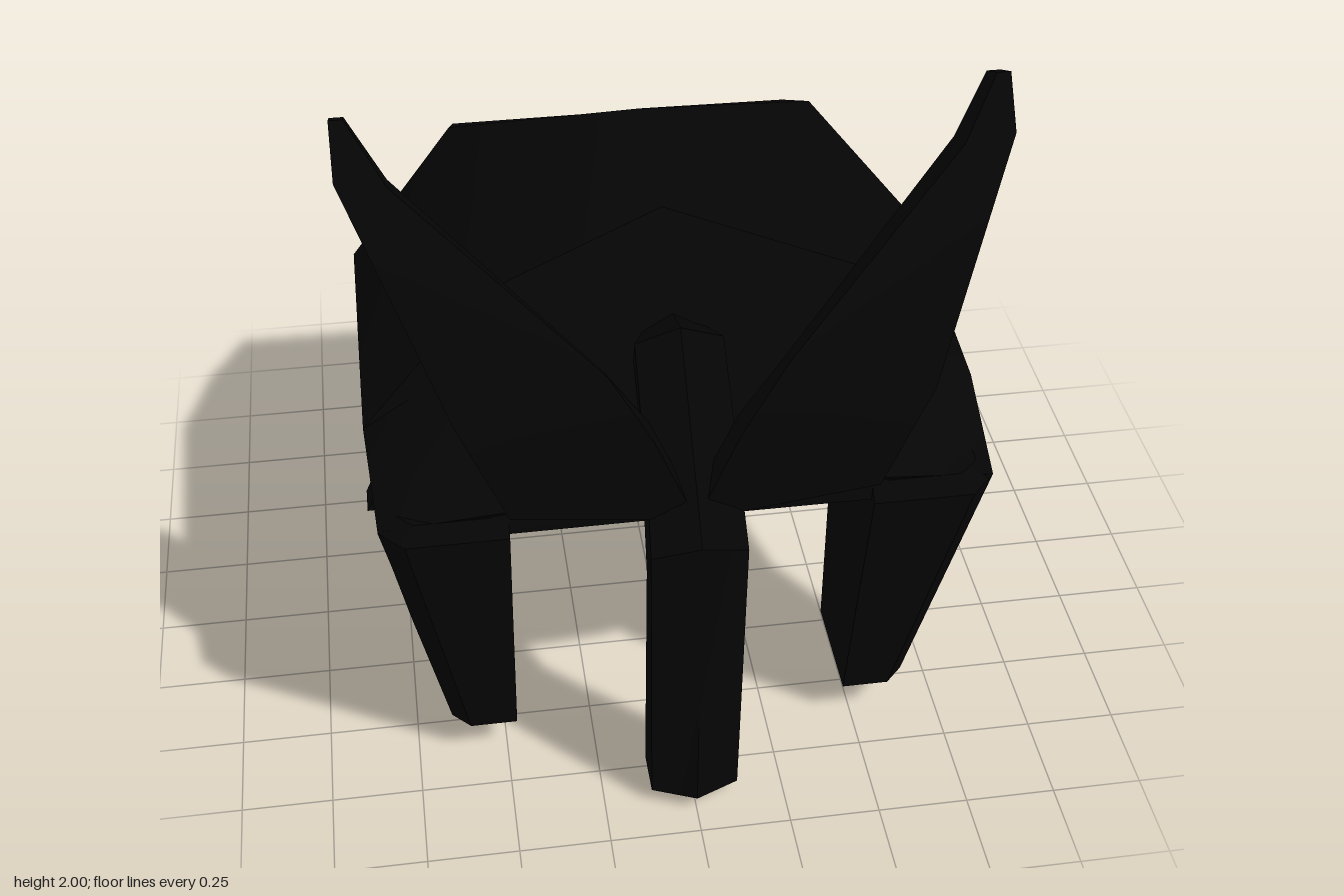
import * as THREE from 'three';
import { toCreasedNormals } from 'three/addons/utils/BufferGeometryUtils.js';

const material = new THREE.MeshStandardMaterial({ color: 0x050505 });

// Joins rings of [x, y, z] points into a closed solid whose faces point outwards
function loft(name, rings) {
  const tris = [];
  const n = rings[0].length;
  for (let i = 0; i < rings.length - 1; i++) {
    for (let j = 0; j < n; j++) {
      const k = (j + 1) % n;
      const [a, b, c, d] = [rings[i][j], rings[i][k], rings[i + 1][k], rings[i + 1][j]];
      tris.push([a, b, c], [a, c, d]);
    }
  }
  const first = rings[0], last = rings[rings.length - 1];
  for (let j = 1; j < n - 1; j++) {
    tris.push([first[0], first[j + 1], first[j]], [last[0], last[j], last[j + 1]]);
  }
  const v = (p) => new THREE.Vector3(...p);
  const volume = tris.reduce((s, [a, b, c]) => s + v(a).dot(v(b).cross(v(c))), 0);
  if (volume < 0) tris.forEach((t) => t.reverse());
  const geometry = new THREE.BufferGeometry();
  geometry.setAttribute('position', new THREE.Float32BufferAttribute(tris.flat(2), 3));
  const mesh = new THREE.Mesh(toCreasedNormals(geometry, 0.6), material);
  mesh.name = name;
  return mesh;
}

const flip = ([x, y, z]) => [-x, y, z];

// Half section running from the back ridge (x = 0) to the belly (x = 0), mirrored to a ring
const mirrorRing = (half) => [...half, ...half.slice(1, -1).reverse().map(flip)];

// Arched body: ridge, shoulder, widest point, lower edge, belly
function makeBody() {
  const stations = [
    [[0, 1.06, 0.79], [0.47, 1.04, 0.79], [0.8, 0.97, 0.74], [0.76, 0.94, 0.76], [0, 0.96, 0.78]],
    [[0, 1.33, 0.43], [0.45, 1.3, 0.42], [0.82, 1.05, 0.42], [0.78, 0.86, 0.33], [0, 0.87, 0.33]],
    [[0, 1.54, 0.22], [0.5, 1.39, 0.34], [0.82, 1.07, 0.2], [0.77, 0.82, 0.09], [0, 0.82, 0.09]],
    [[0, 1.59, -0.2], [0.52, 1.46, -0.39], [0.82, 1.1, -0.32], [0.77, 0.82, -0.2], [0, 0.82, -0.2]],
    [[0, 1.31, -0.66], [0.5, 1.31, -0.66], [0.79, 0.9, -0.66], [0.73, 0.58, -0.44], [0, 0.58, -0.44]],
    [[0, 0.72, -0.93], [0.45, 0.72, -0.93], [0.66, 0.78, -0.82], [0.71, 0.48, -0.44], [0, 0.48, -0.44]],
    [[0, 0.2, -0.84], [0.42, 0.2, -0.84], [0.7, 0.37, -0.57], [0.7, 0.37, -0.44], [0, 0.37, -0.44]],
    [[0, 0.01, -0.84], [0.42, 0, -0.84], [0.865, 0, -0.55], [0.865, 0, -0.45], [0, 0.01, -0.44]],
  ];
  return loft('body', stations.map(mirrorRing));
}

// Tapered front leg: y, outer x, back z, front z, corner bevel
function makeLeg(side) {
  const inner = 0.47;
  const rings = [
    [0.12, 0.65, 0.33, 0.64, 0.05],
    [0.58, 0.735, 0.33, 0.725, 0.06],
    [0.83, 0.775, 0.08, 0.775, 0.06],
    [0.96, 0.8, 0.08, 0.8, 0.065],
    [1.0, 0.76, 0.1, 0.76, 0.05],
  ].map(([y, x, back, front, c]) => [
    [inner, y, back], [x, y, back], [x, y, front - c], [x - c, y, front], [inner, y, front],
  ].map((p) => (side < 0 ? flip(p) : p)));
  return loft(side > 0 ? 'leftFrontLeg' : 'rightFrontLeg', rings);
}

// Hanging trunk that runs up over the forehead: front z, y, rear z, y, half width
function makeTrunk() {
  const rings = [
    [0.93, 0.05, 0.75, 0.04, 0.12],
    [0.93, 0.98, 0.82, 0.82, 0.125],
    [0.84, 1.08, 0.72, 1.0, 0.12],
    [0.55, 1.39, 0.48, 1.2, 0.115],
    [0.42, 1.34, 0.4, 1.2, 0.07],
  ].map(([fz, fy, bz, by, w]) => mirrorRing([
    [0, fy, fz],
    [w, THREE.MathUtils.lerp(fy, by, 0.28), THREE.MathUtils.lerp(fz, bz, 0.28)],
    [w, by, bz],
    [0, by, bz],
  ]));
  return loft('trunk', rings);
}

// Ear blade: a broad upright root reaching the trunk, swept back to a narrow tip
function makeEar(side) {
  const rings = [
    // inner x, y; outer x, y; front z; rear offset in y and z
    [0, 1.0, 0.47, 1.06, 0.84, 0, -0.08],
    [0.11, 1.27, 0.51, 1.16, 0.84, 0, -0.07],
    [0.22, 1.48, 0.59, 1.36, 0.84, -0.04, -0.07],
    [0.7, 1.86, 0.825, 1.88, 0.53, -0.04, -0.1],
    [0.79, 2, 0.825, 2, 0.44, -0.04, -0.08],
  ].map(([ix, iy, ox, oy, z, dy, dz]) => [
    [ix, iy, z], [ox, oy, z], [ox, oy + dy, z + dz], [ix, iy + dy, z + dz],
  ].map((p) => (side < 0 ? flip(p) : p)));
  return loft(side > 0 ? 'leftEar' : 'rightEar', rings);
}

export function createModel() {
  const model = new THREE.Group();
  model.name = 'lowPolyElephant';
  model.add(makeBody(), makeTrunk());
  for (const side of [1, -1]) model.add(makeLeg(side), makeEar(side));
  return model;
}
